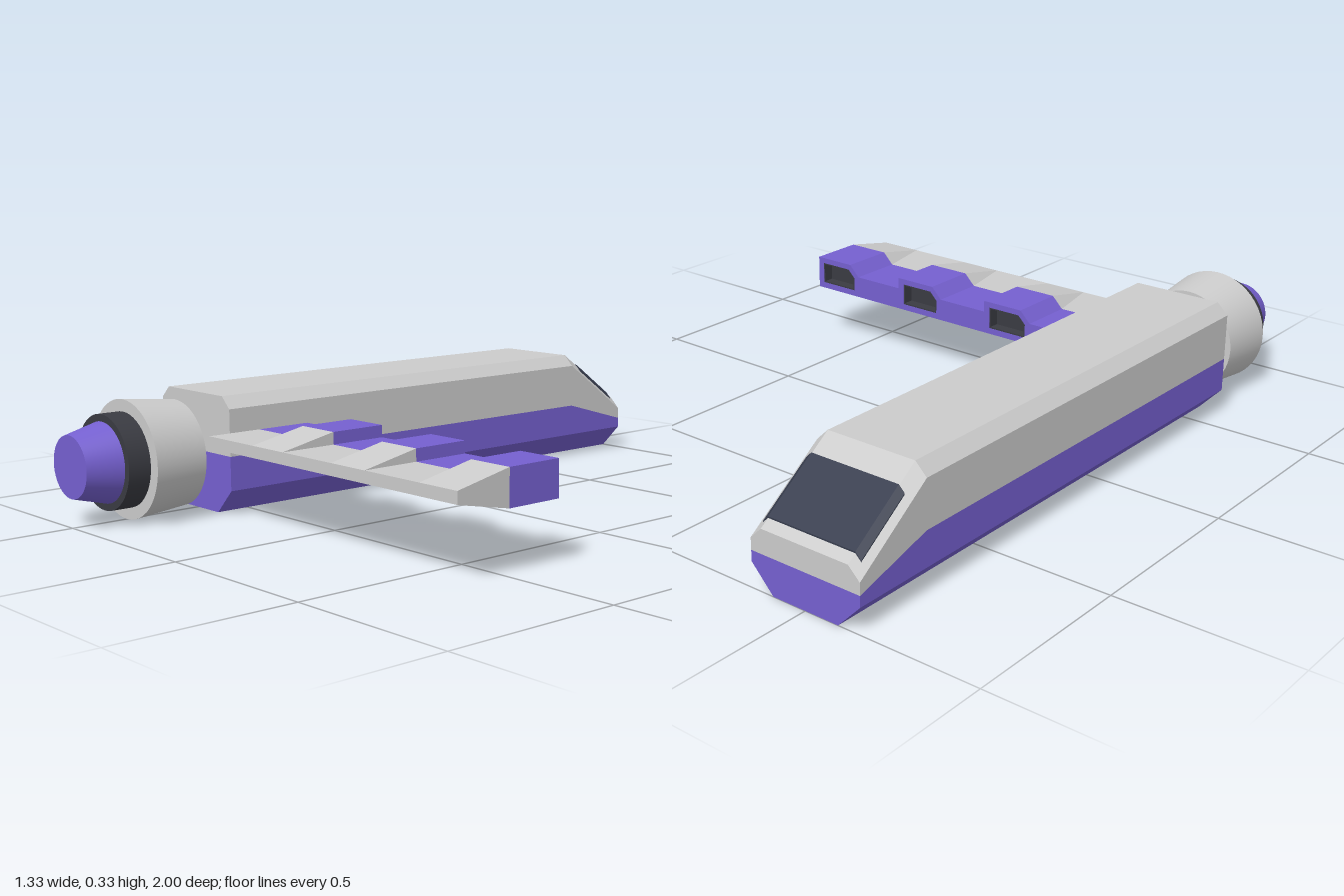
import * as THREE from 'three';

const mat = (color) => new THREE.MeshStandardMaterial({ color });
const grey = mat(0xcccccc);
const purple = mat(0x7560d0);
const dark = mat(0x3a3b42);
const glass = mat(0x363c4d);

const BODY_X = -0.5;
const BUMPS = [0, 0.333, 0.667]; // upright (+x) edge of each intake housing

const toShape = (pts) => new THREE.Shape(pts.map(([x, y]) => new THREE.Vector2(x, y)));

// Prism along z; reshape(x, y) optionally moves the outline at z = endZ.
function prism(pts, z0, z1, { holes = [], endZ, reshape } = {}) {
  const shape = toShape(pts);
  shape.holes = holes.map(toShape);
  const geo = new THREE.ExtrudeGeometry(shape, { depth: z1 - z0, bevelEnabled: false });
  geo.translate(0, 0, z0);
  if (reshape) {
    const p = geo.attributes.position;
    for (let i = 0; i < p.count; i++) {
      if (Math.abs(p.getZ(i) - endZ) > 1e-4) continue;
      const [x, y] = reshape(p.getX(i), p.getY(i));
      p.setXY(i, x, y);
    }
    geo.computeVertexNormals();
  }
  return geo;
}

function add(parent, name, geo, material) {
  const mesh = new THREE.Mesh(geo, material);
  mesh.name = name;
  parent.add(mesh);
  return mesh;
}

// Long chamfered fuselage with a sloping nose at -z
function makeBody() {
  const body = new THREE.Group();
  body.name = 'body';
  body.position.x = BODY_X;

  const upper = [[-0.167, 0.167], [0.167, 0.167], [0.167, 0.3], [0.133, 0.333], [-0.133, 0.333], [-0.167, 0.3]];
  const lower = [[-0.1, 0], [0.1, 0], [0.167, 0.07], [0.167, 0.167], [-0.167, 0.167], [-0.167, 0.07]];
  const noseY = (x, y) => [x, y > 0.2 ? y - 0.167 : y > 0.1 ? 0.1 : y];
  for (const [name, pts, m] of [['upperHull', upper, grey], ['lowerHull', lower, purple]]) {
    add(body, name, prism(pts, -0.767, 0.6), m);
    add(body, name + 'Nose', prism(pts, -1, -0.767, { endZ: -1, reshape: noseY }), m);
  }

  // Windscreen wrapped over the nose slope and its chamfers
  const slopeY = (z) => 0.333 - (-0.767 - z) * (0.167 / 0.233);
  const [zFront, zBack] = [-0.975, -0.825];
  const y = slopeY(zBack) + 0.004;
  const pane = [[-0.15, y - 0.027], [0.15, y - 0.027], [0.15, y - 0.017], [0.133, y], [-0.133, y], [-0.15, y - 0.017]];
  const drop = slopeY(zBack) - slopeY(zFront);
  add(body, 'windscreen', prism(pane, zFront, zBack, { endZ: zFront, reshape: (px, py) => [px, py - drop] }), glass);
  return body;
}

// Round engine behind the fuselage
function makeEngine() {
  const engine = new THREE.Group();
  engine.name = 'engine';
  engine.position.set(BODY_X, 0.167, 0);
  const parts = [
    ['engineCowl', 0.15, 0.167, 0.667, 0.833, grey],
    ['engineRing', 0.133, 0.133, 0.833, 0.9, dark],
    ['engineNozzle', 0.113, 0.087, 0.9, 1, purple],
  ];
  for (const [name, r0, r1, z0, z1, m] of parts) {
    const geo = new THREE.CylinderGeometry(r1, r0, z1 - z0, 48);
    geo.rotateX(Math.PI / 2).translate(0, 0, (z0 + z1) / 2);
    add(engine, name, geo, m);
  }
  return engine;
}

// Intake opening outline, shrunk by d
const opening = (x, d) => [
  [x - 0.15 + d, 0.185 + d], [x - 0.02 - d, 0.185 + d], [x - 0.02 - d, 0.25 - d],
  [x - 0.126 + d * 0.5, 0.25 - d], [x - 0.15 + d, 0.226 - d * 0.5],
];

// Single wing on the +x side with three intake housings
function makeWing() {
  const wing = new THREE.Group();
  wing.name = 'wing';

  const outline = [[-0.333, 0.167], [0.667, 0.167]];
  for (const x of [...BUMPS].reverse()) {
    if (x < 0.6) outline.push([x, 0.233]);
    outline.push([x, 0.267], [x - 0.133, 0.267], [x - 0.167, 0.233]);
  }
  outline.push([-0.333, 0.233]);

  const [z0, zRecess, zMid, z1] = [0.333, 0.37, 0.5, 0.667];
  add(wing, 'wingFrontWithIntakes', prism(outline, z0, zRecess, { holes: BUMPS.map((x) => opening(x, 0)) }), purple);
  add(wing, 'wingMiddle', prism(outline, zRecess, zMid), purple);

  // Trailing part: housings fade out and the underside rises
  const fade = (x, y) => {
    const foot = BUMPS.find((b) => Math.abs(x - (b - 0.167)) < 1e-3);
    return [foot === undefined ? x : foot - 0.133, y < 0.2 ? 0.2 : 0.233];
  };
  add(wing, 'wingTrailingEdge', prism(outline, zMid, z1, { endZ: z1, reshape: fade }), grey);

  // Dark lining and back wall of each intake
  for (const x of BUMPS) {
    add(wing, 'intakeLining', prism(opening(x, 0), z0 + 0.001, zRecess, { holes: [opening(x, 0.004)] }), dark);
    add(wing, 'intakeBack', prism(opening(x, 0.002), zRecess - 0.004, zRecess), dark);
  }
  return wing;
}

export function createModel() {
  const model = new THREE.Group();
  model.name = 'spacecraft';
  model.add(makeBody(), makeEngine(), makeWing());
  return model;
}
